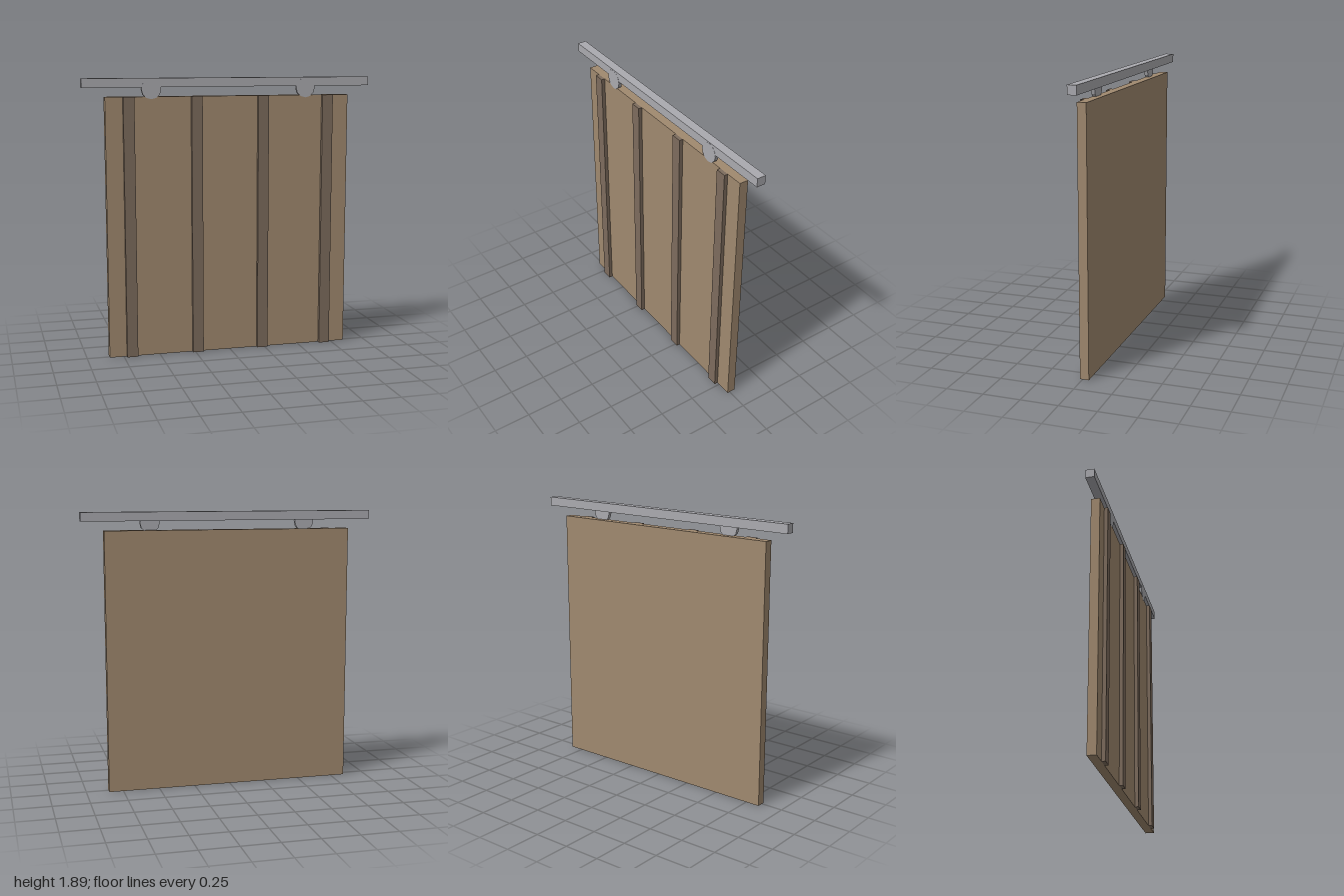
import * as THREE from 'three';

export function createModel() {
  const group = new THREE.Group();
  const panelMat = new THREE.MeshStandardMaterial({ color: 0xa0896f });
  const battenMat = new THREE.MeshStandardMaterial({ color: 0x7d6c5d });
  const metalMat = new THREE.MeshStandardMaterial({ color: 0xaaaaaf, flatShading: true });

  const add = (name, geometry, material, x, y, z) => {
    const mesh = new THREE.Mesh(geometry, material);
    mesh.name = name;
    mesh.position.set(x, y, z);
    group.add(mesh);
  };

  const height = 1.77, back = -0.0425, front = 0.0175;
  const midZ = (back + front) / 2, depth = front - back;

  // Door slab
  add('doorPanel', new THREE.BoxGeometry(1.695, height, depth), panelMat, 0, height / 2, midZ);

  // Vertical battens on the front face
  const batten = new THREE.BoxGeometry(0.075, height, 0.025);
  [-0.693, -0.232, 0.232, 0.693].forEach((x, i) =>
    add(`batten${i + 1}`, batten, battenMat, x, height / 2, front + 0.0125));

  // Overhead track
  add('rail', new THREE.BoxGeometry(2, 0.06, depth), metalMat, 0, 1.862, midZ);

  // Roller discs, facing front, with a corner at each side
  const roller = new THREE.CylinderGeometry(0.067, 0.067, 0.024, 12);
  roller.rotateY(Math.PI / 2).rotateX(Math.PI / 2);
  for (const [name, x] of [['leftRoller', 0.538], ['rightRoller', -0.538]])
    add(name, roller, metalMat, x, 1.82, front - 0.0112);

  return group;
}
